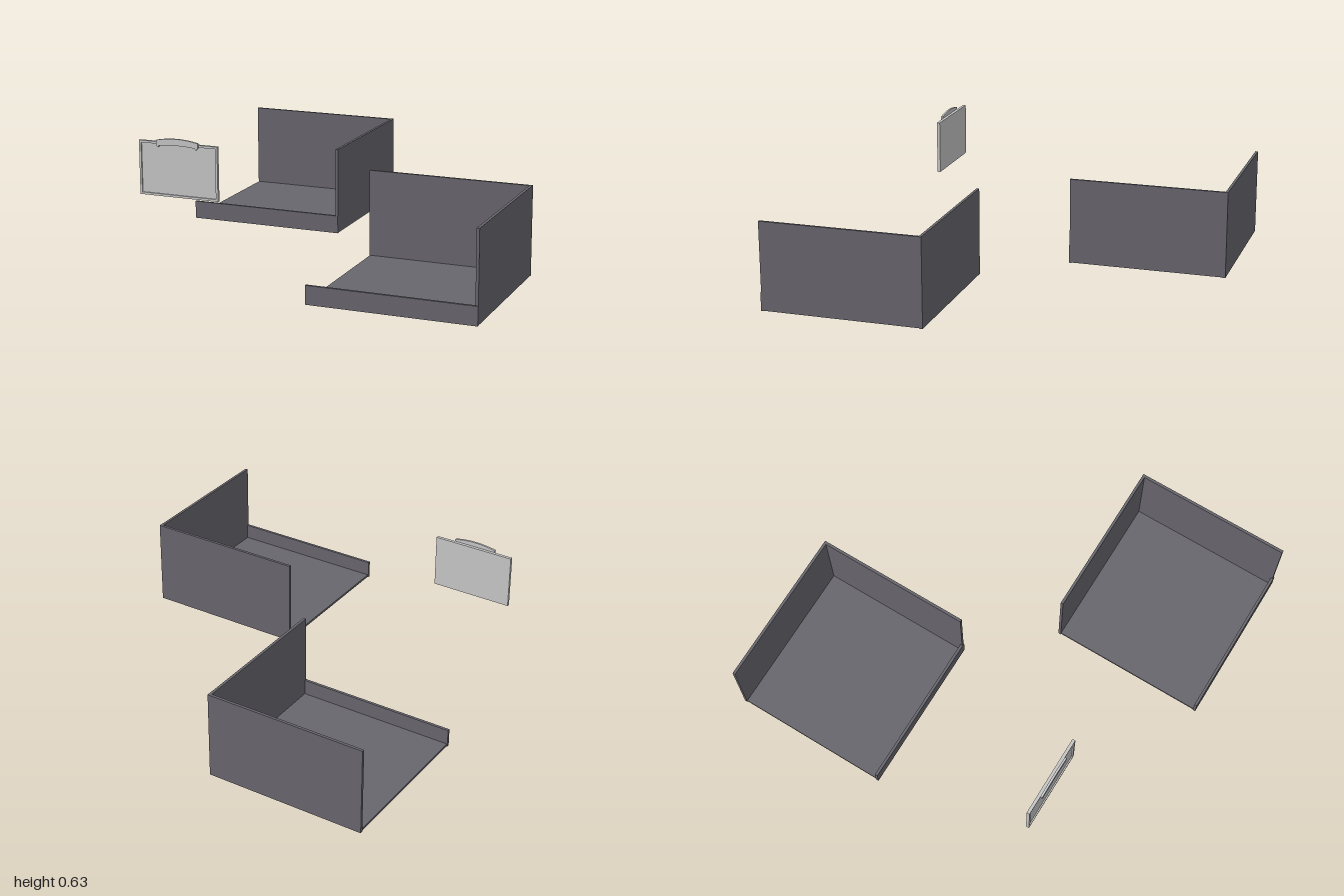
import * as THREE from 'three';

const trayGrey = new THREE.MeshStandardMaterial({ color: 0x68666d });
trayGrey.name = 'trayGrey';
const boardGrey = new THREE.MeshStandardMaterial({ color: 0xc6c6c6 });
boardGrey.name = 'boardGrey';

// Box given by its minimum and maximum corners
function slab(name, material, [x0, y0, z0], [x1, y1, z1]) {
  const mesh = new THREE.Mesh(new THREE.BoxGeometry(x1 - x0, y1 - y0, z1 - z0), material);
  mesh.position.set((x0 + x1) / 2, (y0 + y1) / 2, (z0 + z1) / 2);
  mesh.name = name;
  return mesh;
}

// Open tray: floor, tall back wall, tall left wall and a low front lip
function makeTray(name, x, y, z) {
  const W = 0.822, H = 0.445, D = 0.814, T = 0.014, lip = 0.092;
  const tray = new THREE.Group();
  tray.name = name;
  tray.add(
    slab('floor', trayGrey, [0.003, 0.002, T], [W - T, T, D - T]),
    slab('backWall', trayGrey, [0, 0, 0], [W, H, T]),
    slab('sideWall', trayGrey, [W - T, 0.002, T], [W, H, D - T]),
    slab('frontLip', trayGrey, [0, 0, D - T], [W, lip, D])
  );
  // wall end above the lip reaches the front
  tray.add(slab('sideWallEnd', trayGrey, [W - T, lip, D - T], [W, H, D - 0.004]));
  tray.position.set(x, y, z);
  return tray;
}

function makeClipboard() {
  const board = new THREE.Group();
  board.name = 'clipboard';
  const w = 0.21, h = 0.135, b = 0.011;

  // Raised rim around a recessed panel
  const rect = (P, a, c) => new P([[-a, -c], [a, -c], [a, c], [-a, c]].map(p => new THREE.Vector2(...p)));
  const rimShape = rect(THREE.Shape, w, h);
  rimShape.holes.push(rect(THREE.Path, w - b, h - b));
  const rim = new THREE.Mesh(
    new THREE.ExtrudeGeometry(rimShape, { depth: 0.016, bevelEnabled: false }), boardGrey);
  rim.name = 'rim';
  board.add(rim, slab('panel', boardGrey, [b - w, b - h, 0], [w - b, h - b, 0.009]));

  // Arched clip with two small feet
  const s = new THREE.Shape();
  s.moveTo(-0.112, 0.122);
  s.lineTo(-0.103, 0.112);
  s.lineTo(-0.098, 0.112);
  s.lineTo(-0.096, 0.120);
  s.quadraticCurveTo(0, 0.130, 0.096, 0.120);
  s.lineTo(0.098, 0.112);
  s.lineTo(0.103, 0.112);
  s.lineTo(0.112, 0.122);
  s.lineTo(0.112, 0.145);
  s.quadraticCurveTo(0, 0.170, -0.112, 0.145);
  const clip = new THREE.Mesh(
    new THREE.ExtrudeGeometry(s, { depth: 0.011, bevelEnabled: false, curveSegments: 16 }), boardGrey);
  clip.position.z = 0.016;
  clip.name = 'clip';
  board.add(clip);

  board.position.set(-0.66, 0.475, 0.612);
  return board;
}

export function createModel() {
  const model = new THREE.Group();
  model.name = 'trayAndClipboardSet';
  model.add(
    makeTray('backTray', -0.987, 0, -1),
    makeTray('frontTray', 0.163, 0.01, 0.184),
    makeClipboard()
  );
  return model;
}
